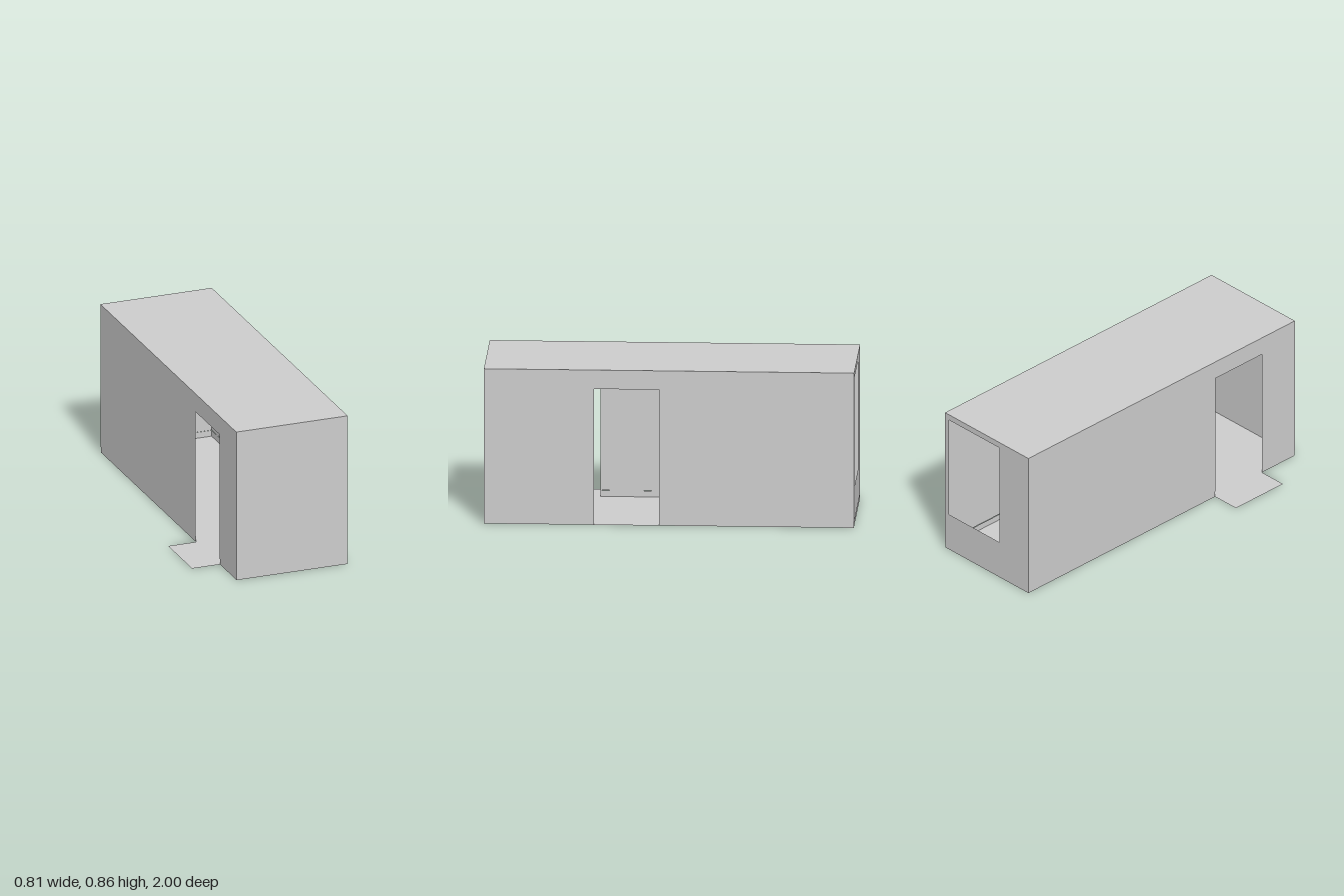
import * as THREE from 'three';

const material = new THREE.MeshStandardMaterial({ color: 0xcccccc, side: THREE.DoubleSide });

// Shell extents, and the skirting that sits slightly inside it
const X0 = -0.243, X1 = 0.403, Z0 = -1, Z1 = 1, TOP = 0.86;
const SKIRT = 0.034, INSET = 0.002;

const rectPoints = (a0, a1, b0, b1) =>
  [[a0, b0], [a1, b0], [a1, b1], [a0, b1]].map(([a, b]) => new THREE.Vector2(a, b));

function panel(name, points, hole) {
  const shape = new THREE.Shape(points);
  if (hole) shape.holes.push(new THREE.Path(hole));
  const mesh = new THREE.Mesh(new THREE.ShapeGeometry(shape), material);
  mesh.name = name;
  return mesh;
}

// Horizontal sheet; shape axes are x and -z
function sheet(name, x0, x1, z0, z1, y) {
  const mesh = panel(name, rectPoints(x0, x1, -z1, -z0));
  mesh.rotation.x = -Math.PI / 2;
  mesh.position.y = y;
  return mesh;
}

// Long side wall with a doorway, plus skirting on both sides of the door; shape axes are -z and y
function sideWall(name, x, inward, door) {
  const group = new THREE.Group();
  group.name = name;
  const a = -door.z1, b = -door.z0;
  const outline = [
    [-Z1, SKIRT], [a, SKIRT], [a, door.top], [b, door.top],
    [b, SKIRT], [-Z0, SKIRT], [-Z0, TOP], [-Z1, TOP],
  ].map(([u, v]) => new THREE.Vector2(u, v));
  const parts = [
    [panel(name + 'Panel', outline), x],
    [panel(name + 'SkirtingFront', rectPoints(-Z1, a, 0, SKIRT)), x + inward * INSET],
    [panel(name + 'SkirtingBack', rectPoints(b, -Z0 - INSET, 0, SKIRT)), x + inward * INSET],
  ];
  for (const [mesh, px] of parts) {
    mesh.rotation.y = Math.PI / 2;
    mesh.position.x = px;
    group.add(mesh);
  }
  return group;
}

// End wall with an optional window, plus skirting
function endWall(name, z, skirtZ, window) {
  const group = new THREE.Group();
  group.name = name;
  const wall = panel(name + 'Panel', rectPoints(X0, X1, SKIRT, TOP), window);
  const skirting = panel(name + 'Skirting', rectPoints(X0 + INSET, X1 - INSET, 0, SKIRT));
  wall.position.z = z;
  skirting.position.z = skirtZ;
  group.add(wall, skirting);
  return group;
}

export function createModel() {
  const model = new THREE.Group();
  model.name = 'cabin';
  model.add(
    sheet('roof', X0, X1, Z0, Z1, TOP),
    sheet('floor', X0 + INSET, X1 - INSET, Z0 + INSET, Z1, 0),
    // Door step outside the right doorway
    sheet('doorStep', -0.403, X0 + INSET, 0.403, 0.755, 0),
    sideWall('leftWall', X1, -1, { z0: 0.053, z1: 0.405, top: 0.755 }),
    sideWall('rightWall', X0, 1, { z0: 0.403, z1: 0.755, top: 0.755 }),
    endWall('frontWall', Z1, Z1),
    endWall('backWall', Z0, Z0 + INSET, rectPoints(-0.018, 0.372, 0.224, 0.826)),
  );
  return model;
}
